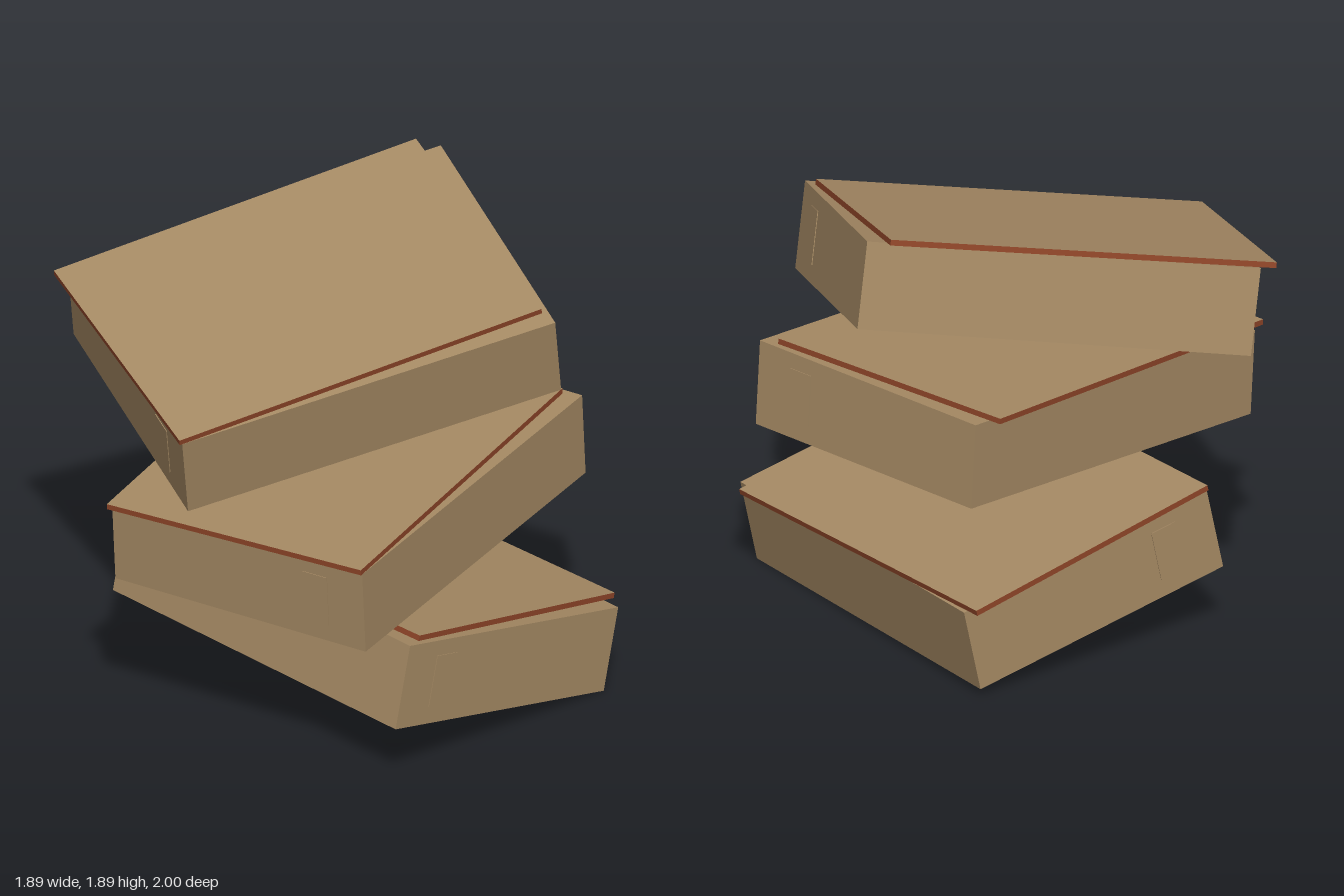
import * as THREE from 'three';

// Shared carton dimensions
const W = 1.17, H = 0.352, L = 1.588;
const LID = { w: 1.153, t: 0.023, l: 1.575 };

const tan = new THREE.MeshStandardMaterial({ name: 'cardboard tan', color: 0xa68a64 });
const rust = new THREE.MeshStandardMaterial({ name: 'rust brown', color: 0x8f4528 });

function addBox(parent, name, size, position, material) {
  const mesh = new THREE.Mesh(new THREE.BoxGeometry(...size), material);
  mesh.name = name;
  mesh.position.set(...position);
  parent.add(mesh);
  return mesh;
}

// One carton, its floor centred on the local origin
function createCarton() {
  const carton = new THREE.Group();
  addBox(carton, 'cartonBody', [W, H, L], [0, H / 2, 0], tan);

  // Lid slightly twisted and slid off centre: tan top, rust edges and underside
  const lid = addBox(carton, 'lid', [LID.w, LID.t, LID.l], [-0.027, H + LID.t / 2 + 0.001, 0.046],
    [rust, rust, tan, rust, rust, rust]);
  lid.rotation.y = 0.048;

  // Thin label on each end
  for (const side of [1, -1]) {
    addBox(carton, side > 0 ? 'frontLabel' : 'backLabel', [0.115, 0.215, 0.004],
      [0.36, 0.18, side * (L / 2 + 0.001)], tan);
  }
  return carton;
}

// Floor corners of each carton: front left, front right, back left
const PLACEMENTS = [
  ['bottomCarton', [-0.731, 0.034, -0.635], [-0.671, 0.28, 0.51], [0.857, 0.008, -0.711]],
  ['middleCarton', [-0.192, 0.659, 0.915], [0.933, 0.664, 0.61], [-0.615, 0.76, -0.612]],
  ['topCarton', [-0.943, 1.294, 0.472], [0.146, 1.057, 0.84], [-0.398, 1.536, -1.0]],
];

export function createModel() {
  const model = new THREE.Group();
  model.name = 'stackedCartons';
  for (const [name, a, b, c] of PLACEMENTS) {
    const [fl, fr, bl] = [a, b, c].map((p) => new THREE.Vector3(...p));
    const z = fl.clone().sub(bl).normalize();
    const y = z.clone().cross(fr.clone().sub(fl)).normalize();
    const x = y.clone().cross(z);
    const carton = createCarton();
    carton.name = name;
    carton.quaternion.setFromRotationMatrix(new THREE.Matrix4().makeBasis(x, y, z));
    carton.position.copy(fr).add(bl).multiplyScalar(0.5);
    model.add(carton);
  }
  return model;
}
